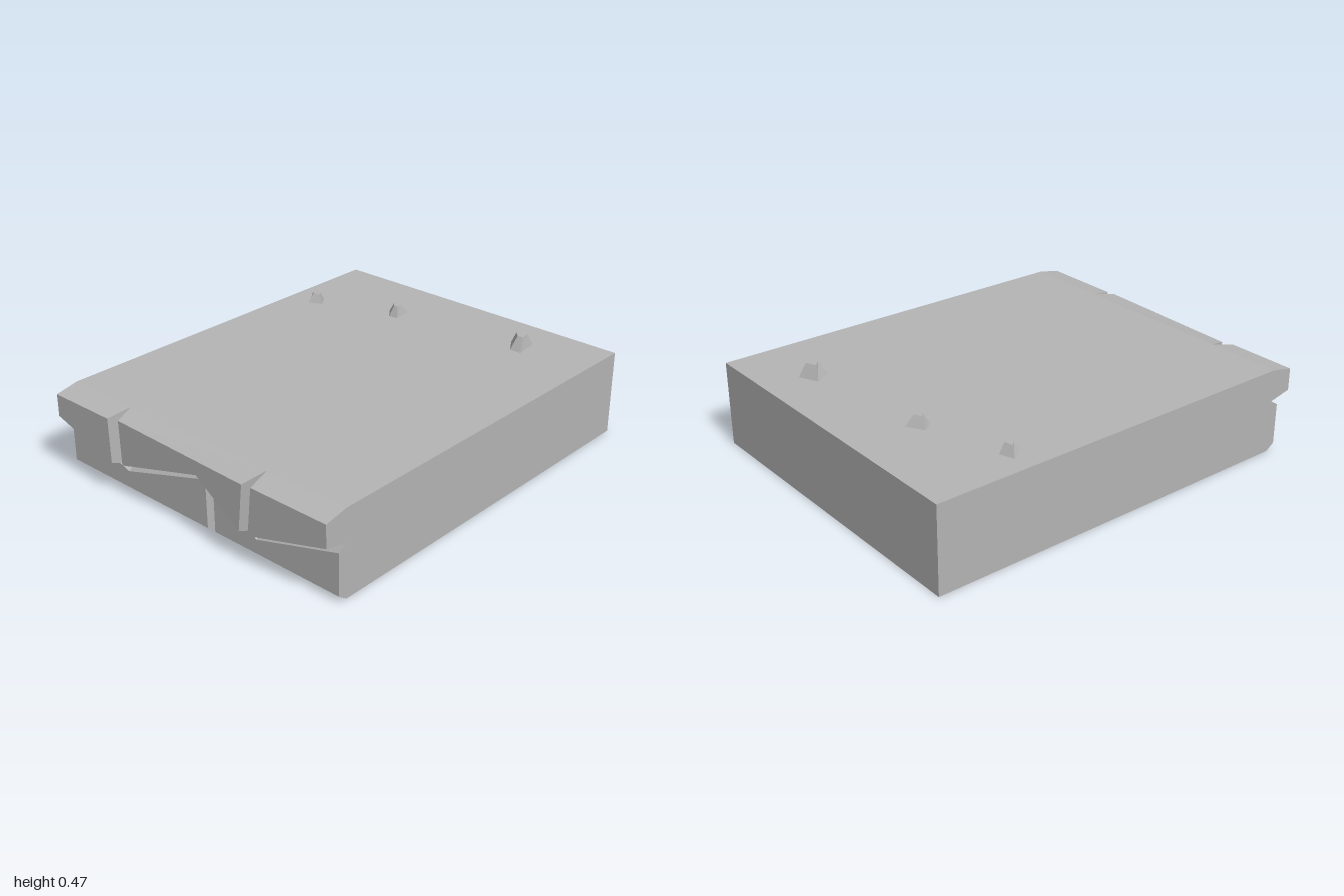
import * as THREE from 'three';

const stone = new THREE.MeshStandardMaterial({ color: 0xb4b4b4 });
stone.name = 'grey stone';
stone.flatShading = true;

// Lofts a counterclockwise outline at depth z0 to a matching smaller outline at depth z1(x).
function taperedBlock(name, base, face, z0, z1) {
  const back = base.map(([x, y]) => [x, y, z0]);
  const front = face.map(([x, y]) => [x, y, z1(x)]);
  const pos = [];
  const n = base.length;
  for (let i = 0; i < n; i++) {
    const j = (i + 1) % n;
    pos.push(...back[i], ...back[j], ...front[j], ...back[i], ...front[j], ...front[i]);
  }
  const tris = THREE.ShapeUtils.triangulateShape(face.map(([x, y]) => new THREE.Vector2(x, y)), []);
  for (const [a, b, c] of tris) {
    const [p, q, r] = [face[a], face[b], face[c]];
    const ccw = (q[0] - p[0]) * (r[1] - p[1]) - (q[1] - p[1]) * (r[0] - p[0]) > 0;
    for (const k of ccw ? [a, b, c] : [a, c, b]) pos.push(...front[k]);
  }
  const geo = new THREE.BufferGeometry();
  geo.setAttribute('position', new THREE.Float32BufferAttribute(pos, 3));
  geo.computeVertexNormals();
  const mesh = new THREE.Mesh(geo, stone);
  mesh.name = name;
  return mesh;
}

export function createModel() {
  const group = new THREE.Group();
  group.name = 'crackedStoneSlab';

  // Main body behind the cracked front
  const W = 0.81, H = 0.41, Z = 0.875;
  const slab = new THREE.Mesh(new THREE.BoxGeometry(2 * W, H, Z + 1), stone);
  slab.name = 'slab';
  slab.position.set(0, H / 2, (Z - 1) / 2);
  group.add(slab);

  // Lower front stones, either side of the middle crack
  const low = () => 0.918;
  group.add(taperedBlock('lowerStoneRight',
    [[-W, 0], [0.09, 0], [0.09, 0.295], [-0.43, 0.14], [-W, 0.255]],
    [[-W, 0.03], [0.07, 0.03], [0.068, 0.262], [-0.43, 0.112], [-W, 0.228]], Z, low));
  group.add(taperedBlock('lowerStoneLeft',
    [[0.09, 0], [W, 0], [W, 0.255], [0.36, 0.125], [0.09, 0.295]],
    [[0.115, 0.03], [W, 0.03], [W, 0.228], [0.36, 0.097], [0.115, 0.25]], Z, low));

  // Upper front stones overhanging the zigzag crack
  const high = () => 0.988;
  const T = 0.387;
  group.add(taperedBlock('upperStoneRight',
    [[-W, 0.255], [-0.43, 0.14], [-0.435, H], [-W, H]],
    [[-W, 0.28], [-0.455, 0.172], [-0.46, T], [-W, T]], Z, high));
  group.add(taperedBlock('upperStoneMiddle',
    [[-0.43, 0.14], [0.09, 0.295], [0.36, 0.125], [0.39, H], [-0.435, H]],
    [[-0.405, 0.172], [0.09, 0.32], [0.34, 0.163], [0.365, T], [-0.41, T]],
    Z, (x) => 0.983 + 0.03 * x));
  group.add(taperedBlock('upperStoneLeft',
    [[0.36, 0.125], [W, 0.255], [W, H], [0.39, H]],
    [[0.385, 0.157], [W, 0.28], [W, T], [0.41, T]], Z, high));

  // Small pebbles on top: ground outline, top outline, height (outlines in x and -z)
  const pebbles = [
    [[[-0.68, 0.49], [-0.614, 0.52], [-0.65, 0.577], [-0.72, 0.555]],
      [[-0.67, 0.518], [-0.635, 0.53], [-0.65, 0.55], [-0.69, 0.54]], 0.455],
    [[[-0.26, 0.63], [-0.212, 0.635], [-0.222, 0.73], [-0.302, 0.682]],
      [[-0.25, 0.656], [-0.228, 0.656], [-0.233, 0.692], [-0.27, 0.677]], 0.46],
    [[[0.424, 0.70], [0.482, 0.703], [0.47, 0.82], [0.375, 0.778]],
      [[0.437, 0.738], [0.466, 0.74], [0.46, 0.785], [0.41, 0.765]], 0.473],
  ];
  pebbles.forEach(([base, top, height], i) => {
    const pebble = taperedBlock('pebble' + (i + 1), base, top, H, () => height);
    pebble.rotation.x = -Math.PI / 2;
    group.add(pebble);
  });

  return group;
}
